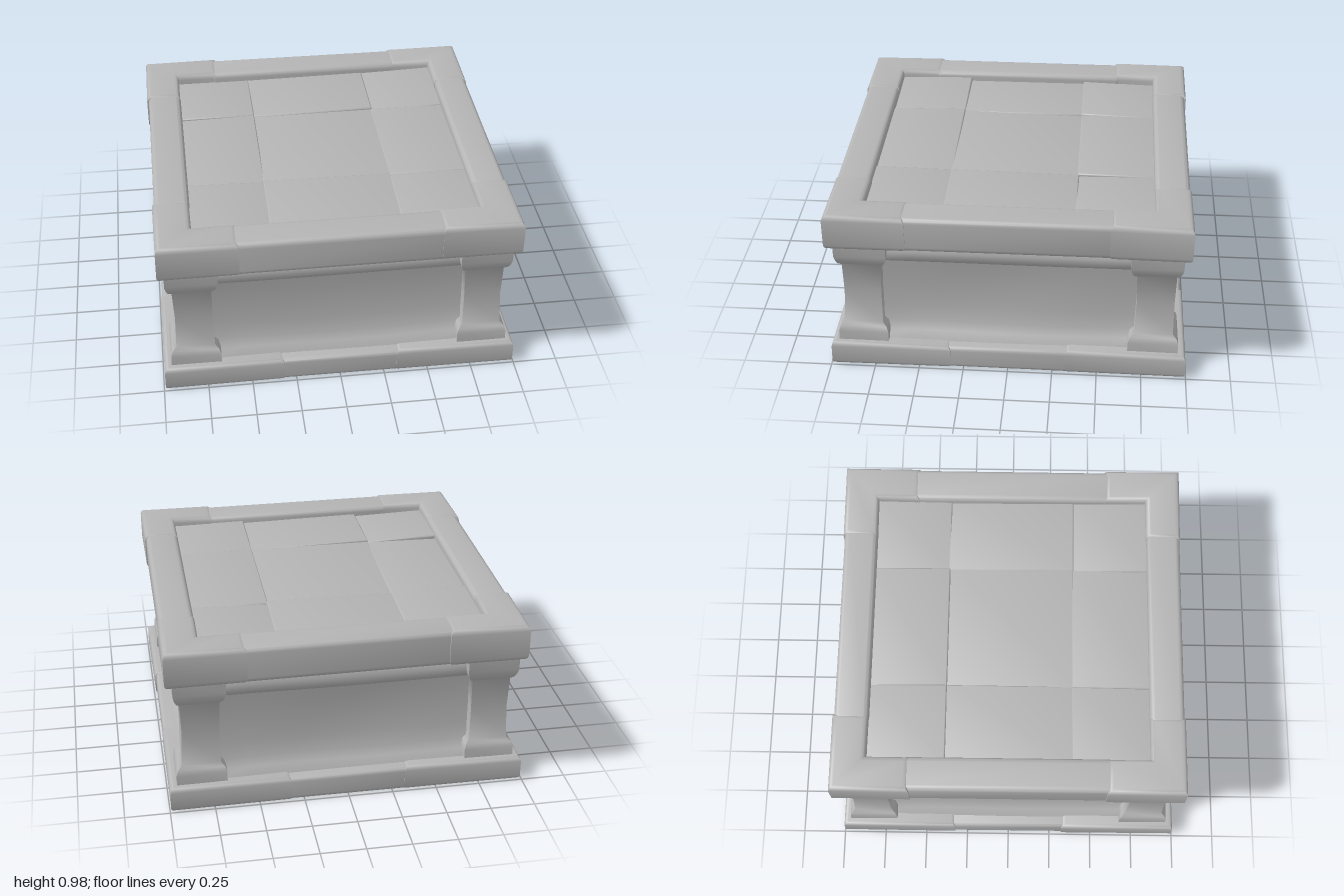
import * as THREE from 'three';
import { toCreasedNormals } from 'three/addons/utils/BufferGeometryUtils.js';
import { RoundedBoxGeometry } from 'three/addons/geometries/RoundedBoxGeometry.js';

const stone = new THREE.MeshStandardMaterial({ color: 0xb4b4b4 });
stone.name = 'greyStone';

// Nudge a geometry's points so the stone looks hand-cut
function weather(geo, seed = 0, amount = 0.005) {
  const p = geo.attributes.position;
  for (let i = 0; i < p.count; i++) {
    const x = p.getX(i), y = p.getY(i), z = p.getZ(i);
    p.setXYZ(i,
      x + amount * Math.sin(5 * z + 7 * y + seed),
      y + (y < 0.05 ? 0 : amount * Math.sin(4 * x + 5 * z + 2 * seed)),
      z + amount * Math.sin(5 * x + 6 * y + 3 * seed));
  }
  return geo;
}

function addMesh(group, name, geo, crease = 0.9) {
  const mesh = new THREE.Mesh(toCreasedNormals(geo, crease), stone);
  mesh.name = name;
  group.add(mesh);
}

function shapeOf(points) {
  return new THREE.Shape(points.map(([x, y]) => new THREE.Vector2(x, y)));
}

// Square ring of blocks: L-shaped corners with slightly inset blocks between
function addFrame(group, name, y0, y1, inner, cut, bevel) {
  const out = 0.992, b = bevel, h = y1 - y0;
  for (let i = 0; i < 4; i++) {
    const turn = i * Math.PI / 2;
    const L = shapeOf([
      [out - b, out - b], [cut + b, out - b], [cut + b, inner + b],
      [inner + b, inner + b], [inner + b, cut + b], [out - b, cut + b],
    ]);
    const corner = new THREE.ExtrudeGeometry(L, {
      depth: h - 2 * b, bevelThickness: b, bevelSize: b, bevelSegments: 3,
    });
    corner.rotateX(-Math.PI / 2).translate(0, y0 + b, 0).rotateY(turn);
    addMesh(group, name + 'Corner', weather(corner, i, 0.002));

    const width = out - 0.007 - inner;
    const side = new RoundedBoxGeometry(2 * cut + 0.08, h - 0.005, width, 3, b);
    side.translate(0, (y0 + y1 - 0.005) / 2, inner + width / 2).rotateY(turn);
    addMesh(group, name + 'Side', weather(side, i + 2, 0.002));
  }
}

export function createModel() {
  const group = new THREE.Group();
  group.name = 'stonePedestal';

  // Base: plinth ring around a solid floor
  addFrame(group, 'base', 0, 0.145, 0.7, 0.32, 0.025);
  addMesh(group, 'baseFloor', new THREE.BoxGeometry(1.92, 0.1, 1.92).translate(0, 0.052, 0));

  // Four shallow recessed walls, each with a sloping foot and a moulded beam on top
  const wallProfile = [
    [0.6, 0.1], [0.93, 0.1], [0.92, 0.145], [0.885, 0.18], [0.86, 0.23], [0.845, 0.32],
    [0.838, 0.43], [0.842, 0.55], [0.852, 0.635], [0.88, 0.645], [0.897, 0.67],
    [0.9, 0.71], [0.885, 0.75], [0.86, 0.78], [0.6, 0.8],
  ];
  for (let i = 0; i < 4; i++) {
    const wall = new THREE.ExtrudeGeometry(shapeOf(wallProfile), {
      depth: 1.46, steps: 8, bevelEnabled: false,
    });
    wall.rotateY(-Math.PI / 2).translate(0.73, 0, 0).rotateY(i * Math.PI / 2);
    addMesh(group, 'wall', weather(wall, i, 0.003));
  }

  // Corner posts: square shafts with a foot and a capital
  const postProfile = [
    [0, 0.1], [0.14, 0.1], [0.14, 0.2], [0.13, 0.23], [0.108, 0.25], [0.103, 0.45],
    [0.108, 0.63], [0.125, 0.645], [0.136, 0.67], [0.143, 0.7], [0.143, 0.8], [0, 0.8],
  ].map(([r, y]) => new THREE.Vector2(r * Math.SQRT2, y));
  for (const sx of [-1, 1]) {
    for (const sz of [-1, 1]) {
      const post = new THREE.LatheGeometry(postProfile, 4);
      post.rotateY(Math.PI / 4).translate(0.81 * sx, 0, 0.81 * sz);
      addMesh(group, 'cornerPost', weather(post, sx + 2 * sz, 0.003));
    }
  }

  // Top slab: raised rim over a flat underside
  addFrame(group, 'rim', 0.77, 0.982, 0.79, 0.55, 0.03);
  addMesh(group, 'slab', new THREE.BoxGeometry(1.8, 0.11, 1.8).translate(0, 0.835, 0));

  // Sunken top of nine uneven tiles
  const edges = [-0.82, -0.36, 0.36, 0.82];
  for (let i = 0; i < 3; i++) {
    for (let j = 0; j < 3; j++) {
      const w = edges[i + 1] - edges[i], d = edges[j + 1] - edges[j];
      const tile = new RoundedBoxGeometry(w + 0.01, 0.08, d + 0.01, 2, 0.008);
      const p = tile.attributes.position;
      const seed = i * 3 + j;
      for (let k = 0; k < p.count; k++) {
        const tilt = 0.012 * Math.sin(seed * 2.3) * p.getX(k) / w
          + 0.014 * Math.cos(seed * 1.7) * p.getZ(k) / d;
        p.setY(k, p.getY(k) + tilt);
      }
      tile.translate((edges[i] + edges[i + 1]) / 2, 0.89 + 0.004 * Math.sin(seed * 4.1),
        (edges[j] + edges[j + 1]) / 2);
      addMesh(group, 'topTile', tile);
    }
  }
  return group;
}
